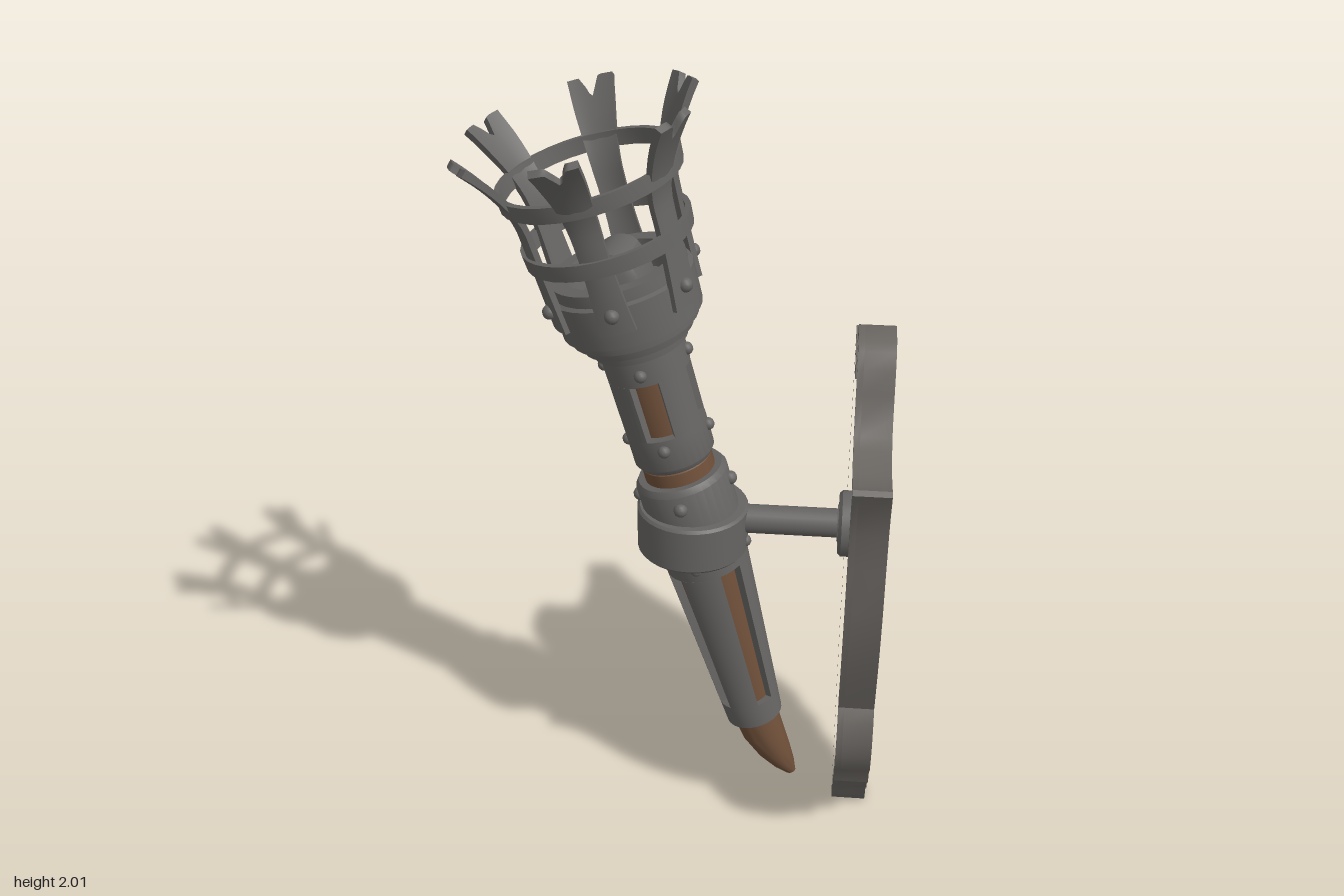
import * as THREE from 'three';
import { toCreasedNormals } from 'three/addons/utils/BufferGeometryUtils.js';

const mat = (name, color) => {
  const m = new THREE.MeshStandardMaterial({ color });
  m.name = name;
  return m;
};

export function createModel() {
  const model = new THREE.Group();
  model.name = 'wallTorch';
  const iron = mat('iron', 0x656462);
  const plateIron = mat('plateIron', 0x6b6763);
  const wood = mat('wood', 0x6e4f39);

  const add = (parent, name, geo, material) => {
    const mesh = new THREE.Mesh(geo, material);
    mesh.name = name;
    parent.add(mesh);
    return mesh;
  };
  // Turned part from [radius, height] pairs, listed bottom to top on the outside
  const turned = (pts, sides = 32) =>
    toCreasedNormals(new THREE.LatheGeometry(pts.map(p => new THREE.Vector2(p[0], p[1])), sides), 0.6);

  // Move the vertices of a unit box by a rule of u, v, w in 0..1
  const bend = (nu, nv, rule) => {
    const geo = new THREE.BoxGeometry(1, 1, 1, nu, nv, 1);
    const p = geo.attributes.position;
    for (let i = 0; i < p.count; i++) {
      p.setXYZ(i, ...rule(p.getX(i) + 0.5, p.getY(i) + 0.5, p.getZ(i) + 0.5));
    }
    geo.computeVertexNormals();
    return geo;
  };
  // Curved plate around the axis; angle 0 faces the front
  const curvedPlate = (a0, a1, y0, y1, r0, r1, thick) => bend(10, 1, (u, v, w) => {
    const a = a0 + (a1 - a0) * u;
    const r = r0 + (r1 - r0) * v - thick * (1 - w);
    return [r * Math.sin(a), y0 + (y1 - y0) * v, r * Math.cos(a)];
  });

  // ---- Torch, built upright around its own axis and then tilted ----
  const torch = new THREE.Group();
  torch.name = 'torch';
  torch.position.set(0.025, 0.9, 0);
  torch.rotation.z = THREE.MathUtils.degToRad(15);
  model.add(torch);

  const rivet = (a, r, y, size = 0.016) => {
    const m = add(torch, 'rivet', new THREE.SphereGeometry(size, 12, 8), iron);
    m.position.set(r * Math.sin(a), y, r * Math.cos(a));
  };
  const around = (n, start, fn) => {
    for (let i = 0; i < n; i++) fn(start + (i * 2 * Math.PI) / n);
  };

  // Wooden shaft
  add(torch, 'woodenShaft', turned([[0, -0.64], [0.058, -0.64], [0.088, -0.1], [0.09, 0.1],
    [0.09, 0.17], [0.078, 0.18], [0.08, 0.54], [0, 0.54]]), wood);

  // Pointed foot, swept to one side
  const foot = new THREE.LatheGeometry([[0, -0.878], [0.014, -0.874], [0.03, -0.84], [0.045, -0.79],
    [0.057, -0.72], [0.062, -0.62]].map(p => new THREE.Vector2(p[0], p[1])), 24);
  const fp = foot.attributes.position;
  const shift = y => 0.05 * Math.pow(Math.max(0, (-0.62 - y) / 0.258), 2);
  for (let i = 0; i < fp.count; i++) fp.setX(i, fp.getX(i) + shift(fp.getY(i)));
  add(torch, 'woodenFoot', toCreasedNormals(foot, 0.7), wood);

  // Slotted tapered sleeve on the lower shaft
  const lowR = y => 0.076 + (y + 0.64) * 0.064;
  const band = (name, y0, y1, r0, r1, inner) =>
    add(torch, name, turned([[inner, y0], [r0, y0], [r1, y1], [inner, y1], [inner, y0]]), iron);
  band('lowerSleeveEnd', -0.65, -0.58, lowR(-0.65), lowR(-0.58), 0.056);
  band('lowerSleeveTop', -0.14, -0.02, lowR(-0.14), lowR(-0.02), 0.08);
  around(4, THREE.MathUtils.degToRad(-5), a => {
    add(torch, 'lowerSleeveBar', curvedPlate(a - 0.5, a + 0.5, -0.58, -0.14, lowR(-0.58), lowR(-0.14), 0.026), iron);
    rivet(a, lowR(-0.09), -0.1);
  });

  // Riveted collar above the holder
  add(torch, 'collar', turned([[0.08, -0.02], [0.118, -0.02], [0.118, 0.12], [0.108, 0.135], [0.08, 0.135]]), iron);
  around(4, 0, a => rivet(a, 0.117, 0.085, 0.018));

  // Slotted upper sleeve
  add(torch, 'upperSleeveEnd', turned([[0.07, 0.175], [0.092, 0.175], [0.102, 0.19], [0.102, 0.275], [0.07, 0.275]]), iron);
  band('upperSleeveTop', 0.43, 0.54, 0.104, 0.106, 0.07);
  around(4, 0, a => {
    add(torch, 'upperSleeveBar', curvedPlate(a + 0.36, a + Math.PI / 2 - 0.36, 0.275, 0.43, 0.102, 0.104, 0.026), iron);
    rivet(a, 0.102, 0.247);
    rivet(a, 0.104, 0.46);
  });

  // Stepped fire cup with a hollow centre
  add(torch, 'fireCup', turned([[0.08, 0.49], [0.118, 0.5], [0.122, 0.525], [0.138, 0.525], [0.145, 0.548],
    [0.158, 0.55], [0.16, 0.57], [0.173, 0.572], [0.177, 0.675], [0.166, 0.68], [0.166, 0.71],
    [0.13, 0.71], [0.122, 0.64], [0, 0.64]]), iron);

  // Rounded block of fuel in the cup
  add(torch, 'fuelBlock', bend(8, 8, (u, v, w) => {
    const dx = u * 2 - 1, dz = w * 2 - 1;
    const half = 0.08 - 0.022 * v * v;
    const a = 0.15 * v;
    const round = 1 - 0.16 * dx * dx * dz * dz;
    const x = dx * half * round, z = dz * half * round;
    return [x * Math.cos(a) - z * Math.sin(a), 0.62 + 0.14 * v - 0.02 * v * dx * dx, x * Math.sin(a) + z * Math.cos(a)];
  }), iron);

  // Six flared blades with forked tips
  const blade = bend(12, 18, (u, v, w) => {
    const s = u * 2 - 1;
    const fork = 0.045 * Math.max(0, 1 - Math.abs(s - 0.05) / 0.4) * Math.pow(v, 8);
    const y = 0.615 + 0.46 * v - fork;
    const flare = Math.max(0, (y - 0.87) / 0.2);
    const r = 0.18 + 0.055 * (y - 0.615) + 0.085 * Math.pow(flare, 1.7);
    const width = 0.088 - 0.02 * Math.sin(Math.PI * Math.min(1, v * 1.15)) + 0.025 * Math.pow(v, 5);
    return [s * width / 2, y - 0.012 * flare * w, r + 0.014 * (w - 0.5) - 0.006 * s * s];
  });
  around(6, Math.PI / 6 - Math.PI / 6, a => {
    add(torch, 'basketBlade', blade, iron).rotation.y = a;
    rivet(a, 0.19, 0.665, 0.018);
  });

  // Flat hoops around the blades
  const hoop = (y, r) => band('basketHoop', y - 0.02, y + 0.02, r, r + 0.003, r - 0.011);
  hoop(0.788, 0.203);
  hoop(0.94, 0.219);

  // ---- Holder and wall arm ----
  const holder = add(model, 'holderRing', turned([[0.09, -0.065], [0.135, -0.065], [0.141, -0.058],
    [0.141, 0.055], [0.135, 0.062], [0.09, 0.062]]), iron);
  holder.position.set(0.023, 0.872, 0);
  const arm = add(model, 'wallArm', new THREE.CylinderGeometry(0.037, 0.037, 0.28, 24), iron);
  arm.rotation.z = Math.PI / 2;
  arm.position.set(0.28, 0.893, 0);
  const rose = add(model, 'armRose', turned([[0.084, 0], [0.084, 0.034], [0.076, 0.042], [0.062, 0.042],
    [0.058, 0.03], [0.05, 0.03], [0.046, 0.045], [0, 0.045]]), iron);
  rose.rotation.z = Math.PI / 2;
  rose.position.set(0.434, 0.893, 0);

  // ---- Shield-shaped wall plate ----
  const half = [[0.04, 1.433], [0.07, 1.42], [0.095, 1.385], [0.115, 1.33], [0.135, 1.28], [0.165, 1.245],
    [0.205, 1.23], [0.29, 1.22], [0.36, 1.23], [0.405, 1.248], [0.415, 1.238], [0.385, 1.17], [0.369, 1.1],
    [0.36, 1.0], [0.355, 0.87], [0.335, 0.75], [0.305, 0.64], [0.26, 0.51], [0.28, 0.48], [0.29, 0.42],
    [0.285, 0.37], [0.265, 0.31], [0.225, 0.275], [0.205, 0.22], [0.155, 0.185], [0.13, 0.135],
    [0.08, 0.095], [0.06, 0.05], [0.04, 0.015], [0.02, 0]];
  const outline = [...half, ...half.map(([x, y]) => [-x, y]).reverse()];
  const points = k => outline.map(([x, y]) => new THREE.Vector2(x * k, 0.75 + (y - 0.75) * (k + 1) / 2));
  const slab = (shape, depth, x) => {
    const geo = new THREE.ExtrudeGeometry(shape, { depth, bevelEnabled: false });
    geo.rotateY(Math.PI / 2).translate(x, 0, 0);
    return toCreasedNormals(geo, 0.6);
  };
  add(model, 'wallPlate', slab(new THREE.Shape(points(1)), 0.075, 0.43), plateIron);
  const rim = new THREE.Shape(points(1));
  rim.holes.push(new THREE.Path(points(0.92)));
  add(model, 'wallPlateRim', slab(rim, 0.015, 0.415), plateIron);

  return model;
}
